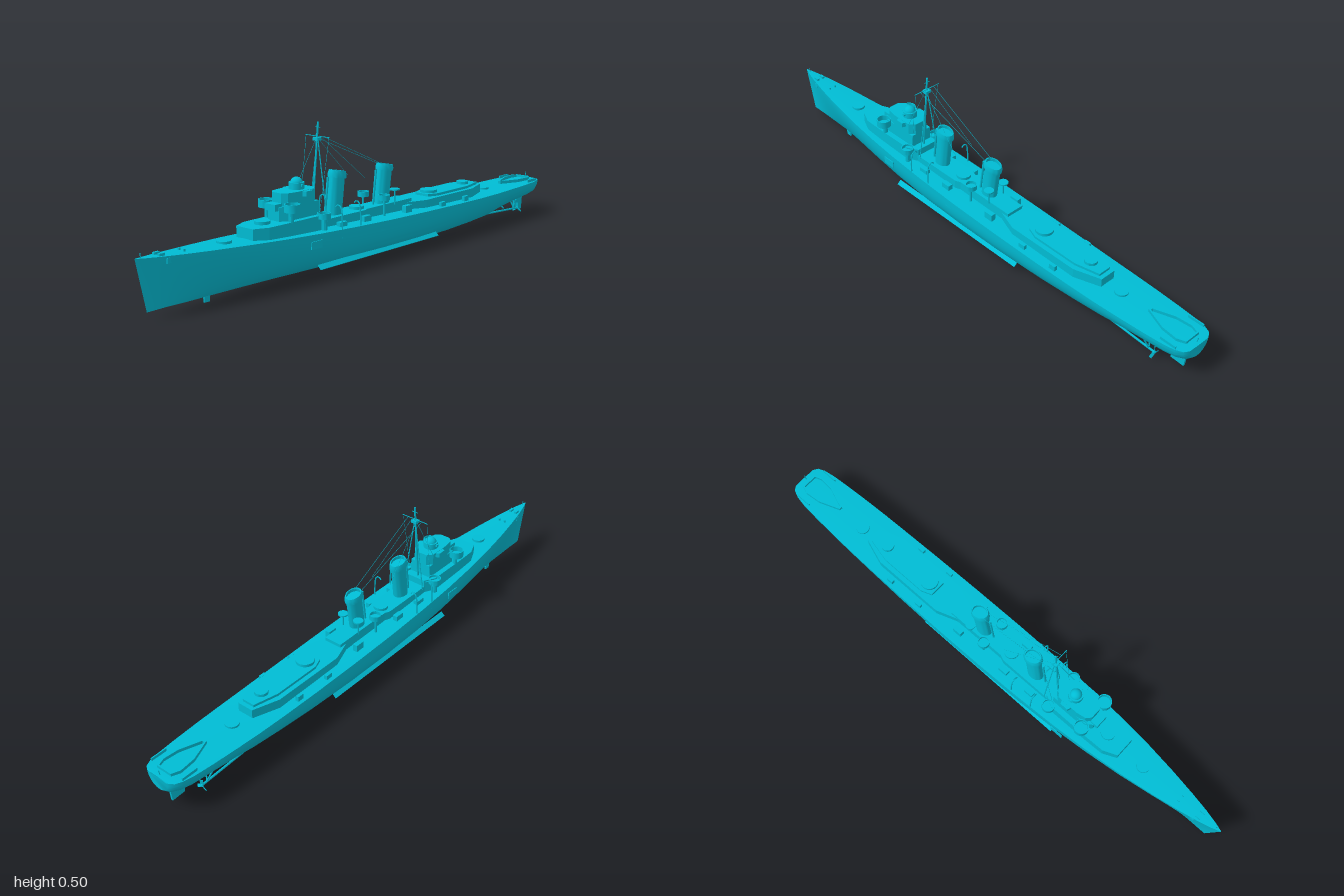
import * as THREE from 'three';
import { toCreasedNormals } from 'three/addons/utils/BufferGeometryUtils.js';

const mat = new THREE.MeshStandardMaterial({ color: 0x00bcd4, side: THREE.DoubleSide });
const V = (x, y, z) => new THREE.Vector3(x, y, z);

export function createModel() {
  const ship = new THREE.Group();
  ship.name = 'warship';

  const add = (name, geo, x = 0, y = 0, z = 0) => {
    const m = new THREE.Mesh(geo, mat);
    m.name = name;
    m.position.set(x, y, z);
    ship.add(m);
    return m;
  };
  const box = (name, w, h, d, x, y, z) => add(name, new THREE.BoxGeometry(w, h, d), x, y, z);
  const drum = (name, r, y0, y1, x, z, n = 20) =>
    add(name, toCreasedNormals(new THREE.CylinderGeometry(r, r, y1 - y0, n), 0.6), x, (y0 + y1) / 2, z);
  const rod = (name, a, b, r) => {
    const m = add(name, new THREE.CylinderGeometry(r, r, a.distanceTo(b), 6));
    m.position.copy(a).lerp(b, 0.5);
    m.quaternion.setFromUnitVectors(V(0, 1, 0), b.clone().sub(a).normalize());
    return m;
  };
  // Symmetric plan outline given as [halfWidth, z], raised from y0 to y1
  const planPoints = half => [...half, ...half.slice().reverse().map(([w, z]) => [-w, z])]
    .map(([x, z]) => new THREE.Vector2(x, -z));
  const house = (name, half, y0, y1, hole) => {
    const shape = new THREE.Shape(planPoints(half));
    if (hole) shape.holes.push(new THREE.Path(planPoints(hole)));
    const g = new THREE.ExtrudeGeometry(shape, { depth: y1 - y0, bevelEnabled: false });
    return add(name, g.rotateX(-Math.PI / 2), 0, y0, 0);
  };
  // Open round gun tub with a floor
  const tub = (name, r, y0, y1, x, z) => {
    const pts = [[0, y0], [r, y0], [r, y1], [r - 0.003, y1], [r - 0.003, y0 + 0.006], [0, y0 + 0.006]];
    const g = new THREE.LatheGeometry(pts.map(p => new THREE.Vector2(...p)), 20);
    return add(name, toCreasedNormals(g, 0.6), x, 0, z);
  };

  // Hull stations: z, half beam, deck height, keel height, section fullness
  const stations = [
    [1.0, 0.001, 0.187, 0.02, 1.0], [0.97, 0.011, 0.185, 0.02, 1.05], [0.92, 0.024, 0.182, 0.02, 1.1],
    [0.85, 0.038, 0.178, 0.018, 1.2], [0.75, 0.055, 0.173, 0.017, 1.35], [0.62, 0.073, 0.167, 0.016, 1.6],
    [0.48, 0.086, 0.16, 0.016, 1.95], [0.34, 0.095, 0.154, 0.016, 2.3], [0.18, 0.101, 0.148, 0.016, 2.6],
    [0.0, 0.104, 0.142, 0.016, 2.7], [-0.2, 0.104, 0.137, 0.016, 2.6], [-0.4, 0.102, 0.133, 0.017, 2.3],
    [-0.55, 0.099, 0.131, 0.02, 2.0], [-0.66, 0.096, 0.131, 0.026, 1.85], [-0.75, 0.092, 0.132, 0.047, 2.0],
    [-0.85, 0.086, 0.133, 0.062, 2.2], [-0.92, 0.08, 0.134, 0.07, 2.4], [-0.96, 0.073, 0.135, 0.075, 2.4],
    [-0.985, 0.062, 0.136, 0.08, 2.2], [-0.996, 0.045, 0.136, 0.088, 2.0],
  ];
  const N = 32, hullPos = [], hullIdx = [], deckPos = [], deckIdx = [];
  stations.forEach(([z, b, top, keel, n], i) => {
    for (let j = 0; j <= N; j++) {
      const t = Math.abs(1 - (2 * j) / N) * Math.PI / 2;
      const s = 1 - Math.pow(Math.max(Math.cos(t), 0), 2 / n);
      const x = b * Math.pow(Math.sin(t), 2 / n) * Math.sign(N / 2 - j);
      const rake = 0.035 * (1 - s) * Math.max(0, (z - 0.7) / 0.3);
      hullPos.push(x, keel + (top - keel) * s, z - rake);
    }
    deckPos.push(b, top, z, 0, top + b * 0.04, z, -b, top, z);
    if (i === stations.length - 1) return;
    const quads = (idx, cols, flip) => {
      for (let j = 0; j < cols - 1; j++) {
        const a = i * cols + j, c = a + cols;
        if (flip) idx.push(a, c, a + 1, a + 1, c, c + 1);
        else idx.push(a, a + 1, c, a + 1, c + 1, c);
      }
    };
    quads(hullIdx, N + 1, false);
    quads(deckIdx, 3, true);
  });
  const last = (stations.length - 1) * (N + 1);
  for (let j = 1; j < N - 1; j++) hullIdx.push(last, last + j, last + j + 1);
  const loft = (name, pos, idx) => {
    const g = new THREE.BufferGeometry();
    g.setAttribute('position', new THREE.Float32BufferAttribute(pos, 3));
    g.setIndex(idx);
    add(name, toCreasedNormals(g, 0.7));
  };
  loft('hull', hullPos, hullIdx);
  loft('mainDeck', deckPos, deckIdx);

  // Deckhouses
  house('forwardDeckhouse', [[0.038, 0.58], [0.06, 0.53], [0.062, 0.45], [0.062, 0.3], [0.04, 0.26]], 0.15, 0.203);
  house('midshipDeckhouse', [[0.042, 0.3], [0.042, 0.06], [0.034, 0.04], [0.034, -0.2]], 0.13, 0.178);
  house('aftDeckhouse',
    [[0.03, -0.13], [0.034, -0.17], [0.062, -0.25], [0.062, -0.53], [0.03, -0.625]], 0.125, 0.166);
  house('aftUpperDeckhouse', [[0.03, -0.3], [0.045, -0.34], [0.045, -0.52], [0.024, -0.61]], 0.16, 0.175);

  // Bridge tower
  house('bridgeBase', [[0.025, 0.455], [0.042, 0.43], [0.042, 0.29]], 0.2, 0.25);
  house('bridge', [[0.02, 0.44], [0.036, 0.425], [0.042, 0.39], [0.042, 0.31], [0.025, 0.29]], 0.25, 0.292);
  house('bridgeFrontPanel', [[0.024, 0.47], [0.024, 0.44]], 0.238, 0.26);
  house('bridgeWings', [[0.03, 0.37], [0.055, 0.36], [0.055, 0.33], [0.03, 0.32]], 0.274, 0.291);
  drum('directorBase', 0.026, 0.29, 0.314, 0, 0.35, 24);
  add('directorDome', new THREE.SphereGeometry(0.021, 20, 8, 0, Math.PI * 2, 0, Math.PI / 2), 0, 0.31, 0.35);
  box('rangefinder', 0.062, 0.008, 0.01, 0, 0.306, 0.35);

  // Low gun rings on the decks and houses
  for (const [z, y, r] of [[0.665, 0.166, 0.024], [0.505, 0.2, 0.026], [0.06, 0.175, 0.026],
    [-0.34, 0.172, 0.032], [-0.55, 0.172, 0.023], [-0.685, 0.128, 0.024]])
    drum('gunRing', r, y, y + 0.013, 0, z, 24);

  // Funnels, raked aft with hollow tops
  for (const [z, y1] of [[0.165, 0.325], [-0.08, 0.315]]) {
    const f = new THREE.Group();
    f.name = 'funnel';
    const h = y1 - 0.165;
    const profile = [[0.9, 0], [0.9, h * 0.85], [1.06, h * 0.85], [1.06, h * 0.93], [0.95, h], [0.82, h], [0.82, h - 0.012], [0, h - 0.012]];
    const g = new THREE.LatheGeometry(profile.map(p => new THREE.Vector2(...p)), 24);
    g.scale(0.026, 1, 0.034);
    const p = g.attributes.position;
    // Rake and slope the upper rim
    for (let i = 0; i < p.count; i++) {
      const t = p.getY(i) / h;
      p.setY(i, p.getY(i) + p.getZ(i) * 0.2 * t);
      p.setZ(i, p.getZ(i) - t * 0.02);
    }
    const body = new THREE.Mesh(toCreasedNormals(g, 0.6), mat);
    body.name = 'funnelCasing';
    f.add(body);
    const pipe = new THREE.Mesh(new THREE.CylinderGeometry(0.004, 0.004, h * 0.9, 8), mat);
    pipe.name = 'steamPipe';
    pipe.position.set(0, h * 0.45, 0.036);
    pipe.rotation.x = -0.13;
    f.add(pipe);
    f.position.set(0, 0.165, z + 0.01);
    ship.add(f);
  }

  // Tripod mast, yard and rigging
  const top = V(0, 0.5, 0.247), head = V(0, 0.455, 0.25);
  rod('mast', V(0, 0.17, 0.28), top, 0.0035);
  box('mastPlatform', 0.022, 0.01, 0.02, 0, 0.443, 0.252);
  rod('yard', V(-0.055, 0.452, 0.25), V(0.055, 0.452, 0.25), 0.0014);
  rod('topYard', V(-0.012, 0.482, 0.248), V(0.012, 0.482, 0.248), 0.0012);
  for (const s of [-1, 1]) {
    rod('mastLeg', V(s * 0.042, 0.17, 0.25), head, 0.002);
    rod('signalHalyard', V(s * 0.052, 0.452, 0.25), V(s * 0.045, 0.2, 0.29), 0.0007);
    rod('aerial', V(s * 0.03, 0.452, 0.25), V(s * 0.012, 0.315, -0.07), 0.0007);
    rod('forestay', head, V(s * 0.04, 0.29, 0.31), 0.0007);
    rod('backstay', V(s * 0.01, 0.455, 0.25), V(s * 0.04, 0.29, 0.06), 0.0006);
  }

  // Paired fittings on both sides
  for (const s of [-1, 1]) {
    tub('upperGunTub', 0.026, 0.236, 0.262, s * 0.06, 0.43);
    drum('upperTubSupport', 0.009, 0.2, 0.238, s * 0.055, 0.43, 10);
    tub('lowerGunTub', 0.023, 0.192, 0.211, s * 0.066, 0.29);
    drum('lowerTubSupport', 0.01, 0.148, 0.195, s * 0.066, 0.29, 10);
    tub('funnelGunTub', 0.021, 0.2, 0.218, s * 0.048, -0.03);
    rod('funnelTubStrut', V(s * 0.05, 0.14, -0.03), V(s * 0.05, 0.203, -0.03), 0.004);
    drum('searchlightPlatform', 0.018, 0.222, 0.227, s * 0.034, -0.105, 16);
    rod('searchlightStrut', V(s * 0.034, 0.17, -0.105), V(s * 0.034, 0.223, -0.105), 0.003);

    // Boat davits
    for (const z of [0.235, 0.145]) {
      const path = new THREE.CatmullRomCurve3([V(s * 0.096, 0.12, z), V(s * 0.095, 0.19, z),
        V(s * 0.09, 0.222, z), V(s * 0.078, 0.23, z), V(s * 0.068, 0.222, z)]);
      add('boatDavit', new THREE.TubeGeometry(path, 14, 0.0025, 6));
    }
    for (const z of [0.2, 0.08, -0.14])
      box('deckLocker', 0.018, 0.028, 0.035, s * 0.062, 0.151, z);
    for (const z of [-0.32, -0.46])
      box('chargeThrower', 0.012, 0.022, 0.025, s * 0.082, 0.14, z);
    for (const z of [0.36, 0.02, -0.2])
      box('rubbingPlate', 0.008, 0.025, 0.05, s * 0.099, 0.122, z).scale.x = z > 0.3 ? 0.4 : 0.9;

    // Bow gear
    box('capstan', 0.01, 0.01, 0.02, s * 0.012, 0.185, 0.915);
    drum('mooringBollard', 0.004, 0.174, 0.186, s * 0.012, 0.83, 8);
    box('anchor', 0.006, 0.016, 0.014, s * 0.026, 0.167, 0.9);

    // Bilge keel, shaft, struts and propeller
    const bilge = box('bilgeKeel', 0.02, 0.003, 0.62, s * 0.081, 0.037, 0.02);
    bilge.rotation.z = -s * 0.75;
    rod('propellerShaft', V(s * 0.042, 0.045, -0.62), V(s * 0.042, 0.032, -0.87), 0.004);
    for (const dx of [-0.016, 0.016])
      rod('shaftStrut', V(s * 0.042, 0.033, -0.845), V(s * 0.042 + dx, 0.075, -0.835), 0.0028);
    add('propellerHub', new THREE.SphereGeometry(0.006, 10, 8), s * 0.042, 0.032, -0.868);
    for (let k = 0; k < 3; k++) {
      const g = new THREE.BoxGeometry(0.01, 0.02, 0.002).rotateY(0.6).translate(0, 0.012, 0);
      add('propellerBlade', g, s * 0.042, 0.032, -0.868).rotation.z = k * Math.PI * 2 / 3;
    }
    box('sternRail', 0.004, 0.012, 0.06, s * 0.068, 0.139, -0.93);
  }

  // Stern coaming loop
  house('sternCoaming',
    [[0.006, -0.8], [0.036, -0.88], [0.042, -0.94], [0.03, -0.97]], 0.13, 0.147,
    [[0.004, -0.809], [0.031, -0.883], [0.036, -0.938], [0.027, -0.964]]);

  // Rudder and sonar fin
  const rudder = new THREE.Shape([[-0.9, 0.085], [-0.905, 0.012], [-0.955, 0.01], [-0.963, 0.088]]
    .map(([z, y]) => new THREE.Vector2(-z, y)));
  add('rudder', new THREE.ExtrudeGeometry(rudder, { depth: 0.008, bevelEnabled: false })
    .translate(0, 0, -0.004).rotateY(Math.PI / 2));
  box('sonarFin', 0.006, 0.025, 0.022, 0, 0.0125, 0.74);

  // Flagstaffs
  rod('jackstaff', V(0, 0.18, 0.98), V(0, 0.2, 0.98), 0.0015);
  rod('ensignStaff', V(0, 0.13, -0.985), V(0, 0.158, -0.99), 0.0015);
  return ship;
}
